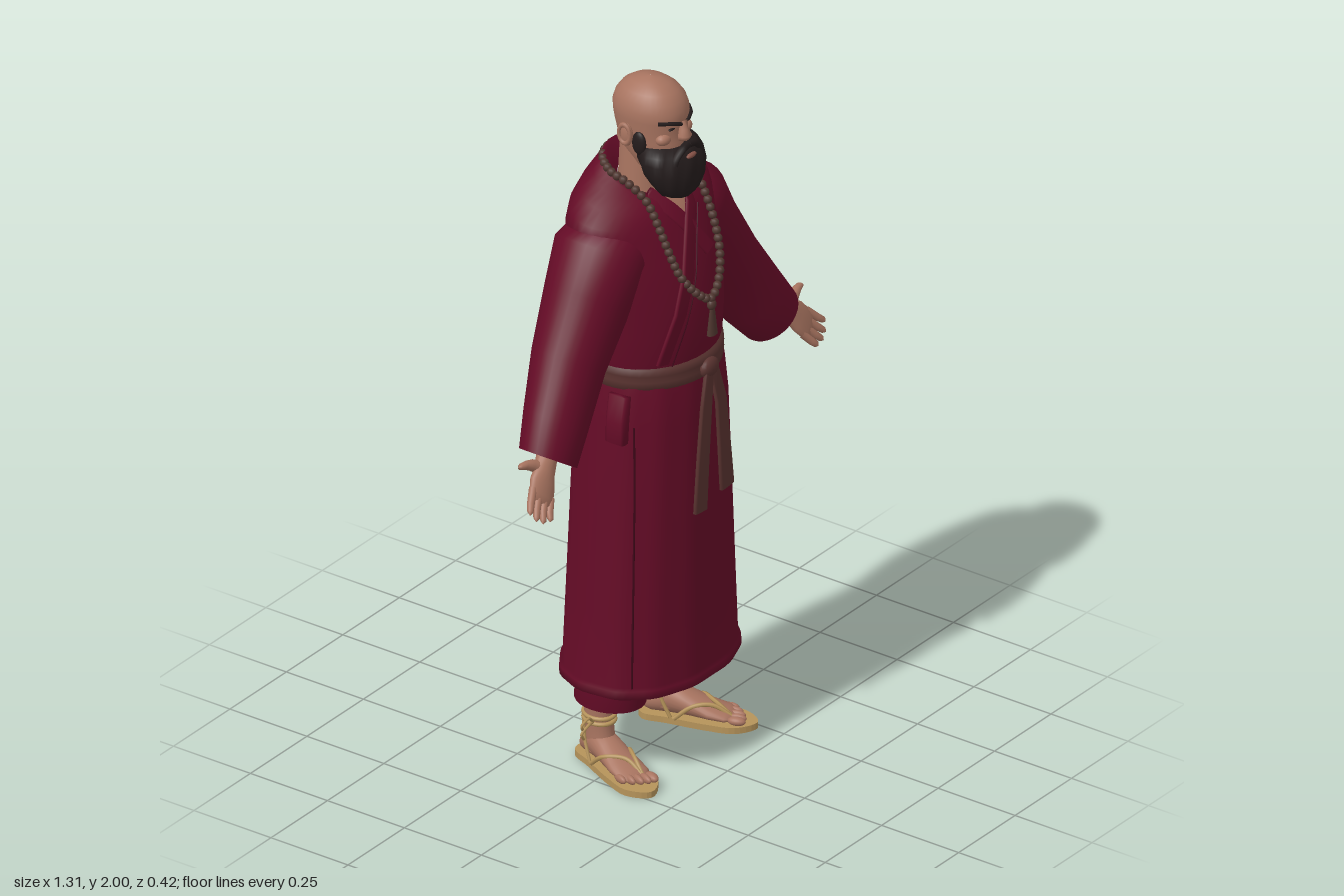
import * as THREE from 'three';
import { mergeGeometries } from 'three/addons/utils/BufferGeometryUtils.js';

const mat = (name, color) => Object.assign(new THREE.MeshStandardMaterial({ color }), { name });
const V = (x, y, z) => new THREE.Vector3(x, y, z);

// Skin a row of super-elliptic sections {c, u, v}; outward side is found from the row's direction
function loft(secs, n = 28, p = 2, ripple = () => 1) {
  const pos = [], idx = [], s1 = secs[1];
  const along = secs[secs.length - 1].c.clone().sub(secs[0].c);
  const flip = along.dot(s1.u.clone().cross(s1.v)) > 0 ? -1 : 1;
  const pw = (t) => Math.sign(t) * Math.abs(t) ** (2 / p);
  secs.forEach((s, i) => {
    for (let j = 0; j < n; j++) {
      const a = (j / n) * Math.PI * 2, r = ripple(a, i);
      const q = s.c.clone().addScaledVector(s.u, pw(Math.cos(a)) * r).addScaledVector(s.v, flip * pw(Math.sin(a)) * r);
      pos.push(q.x, q.y, q.z);
      if (i < secs.length - 1) {
        const k = (j + 1) % n, A = i * n + j, B = A + n, C = i * n + k, D = C + n;
        idx.push(A, B, C, B, D, C);
      }
    }
  });
  const g = new THREE.BufferGeometry();
  g.setAttribute('position', new THREE.Float32BufferAttribute(pos, 3));
  g.setIndex(idx);
  g.computeVertexNormals();
  return g;
}

// Horizontal section: height, half width, front z, back z, front drop
const ring = ([y, rx, zf, zb, dy = 0], x = 0) =>
  ({ c: V(x, y, (zf + zb) / 2), u: V(rx, 0, 0), v: V(0, dy, (zf - zb) / 2) });
const rings = (rows, x) => rows.map((r) => ring(r, x));

// Front surface depth of a stack of horizontal sections
function frontZ(rows, x, y, p = 2) {
  const up = rows.map((r) => [r[0] + (r[4] || 0), r[1], r[2], r[3]]).sort((a, b) => a[0] - b[0]);
  let i = 0;
  while (i < up.length - 2 && up[i + 1][0] < y) i++;
  const t = THREE.MathUtils.clamp((y - up[i][0]) / (up[i + 1][0] - up[i][0]), 0, 1);
  const [, rx, zf, zb] = up[i].map((a, k) => a + (up[i + 1][k] - a) * t);
  const e = Math.max(0, 1 - Math.abs(x / rx) ** p) ** (1 / p);
  return (zf + zb) / 2 + ((zf - zb) / 2) * e;
}

// Flat band along points [x, y, z, width]
function band(pts, t) {
  const secs = pts.map(([x, y, z, w], i) => {
    const a = pts[Math.max(0, i - 1)], b = pts[Math.min(pts.length - 1, i + 1)];
    const d = V(b[0] - a[0], b[1] - a[1], 0).normalize();
    return { c: V(x, y, z), u: V(-d.y, d.x, 0).multiplyScalar(w / 2), v: V(0, 0, t / 2) };
  });
  const end = (s) => ({ c: s.c, u: s.u.clone().multiplyScalar(0.02), v: s.v.clone().multiplyScalar(0.02) });
  return loft([end(secs[0]), ...secs, end(secs[secs.length - 1])], 12, 5);
}
const tube = (pts, r, seg = 20) =>
  new THREE.TubeGeometry(new THREE.CatmullRomCurve3(pts.map((q) => V(...q))), seg, r, 6);
const blob = (x, y, z, a, b, c) => new THREE.SphereGeometry(1, 18, 12).scale(a, b, c).translate(x, y, z);

export function createModel() {
  const model = new THREE.Group();
  const robe = mat('crimson cloth', 0x640b26), seam = mat('seam shade', 0x3f0618);
  const skin = mat('skin', 0xa87460), hair = mat('black hair', 0x231b1b), lip = mat('lips', 0x855146);
  const sash = mat('brown sash', 0x58322f), wood = mat('dark wood', 0x4f362f), straw = mat('straw', 0xb5935a);
  const add = (name, geo, m, parent = model) => {
    const mesh = new THREE.Mesh(geo, m);
    mesh.name = name;
    parent.add(mesh);
    return mesh;
  };

  // Robe upper body, ending in a collar folded inward
  const torso = [
    [1.18, 0.19, 0.165, -0.16], [1.24, 0.205, 0.178, -0.172], [1.32, 0.21, 0.183, -0.19],
    [1.42, 0.225, 0.178, -0.2], [1.52, 0.24, 0.15, -0.2], [1.6, 0.25, 0.12, -0.192, -0.01],
    [1.645, 0.242, 0.105, -0.18, -0.02], [1.68, 0.2, 0.09, -0.162, -0.03], [1.705, 0.15, 0.08, -0.142, -0.04],
    [1.722, 0.118, 0.075, -0.128, -0.05], [1.727, 0.1, 0.065, -0.115, -0.05]];
  add('robeTop', loft(rings([...torso, [1.67, 0.07, 0.04, -0.09, -0.05]]), 40), robe);
  const onChest = ([x, y, w], off) => [x, y, frontZ(torso, x, y) + off, w];
  add('chest', band([[0, 1.68, 0.075], [0, 1.655, 0.05], [0, 1.625, 0.006]].map((q) => onChest(q, 0.004)), 0.008), skin);
  const lapel = (pts, off) => band(pts.map((q) => onChest(q, off)), 0.012);
  add('underLapel', lapel([[-0.07, 1.69, 0.04], [-0.04, 1.645, 0.042], [0, 1.59, 0.042], [0.05, 1.51, 0.04]], 0.004), robe);
  const overLine = [[0.07, 1.69, 0.04], [0.035, 1.64, 0.045], [-0.01, 1.58, 0.048],
    [-0.06, 1.48, 0.05], [-0.1, 1.38, 0.05], [-0.14, 1.24, 0.05]];
  add('overLapel', lapel(overLine, 0.01), robe);
  add('lapelSeam', tube(overLine.slice(1).map(([x, y]) => onChest([x + 0.022, y - 0.01, 0], 0.013).slice(0, 3)), 0.002), seam);

  // Skirt with soft pleats, hem fold and an open inside
  const skirt = [
    [1.21, 0.19, 0.162, -0.158], [1.15, 0.203, 0.175, -0.17], [1.05, 0.215, 0.182, -0.178], [0.8, 0.232, 0.186, -0.187],
    [0.5, 0.25, 0.19, -0.194], [0.3, 0.262, 0.193, -0.199], [0.293, 0.27, 0.2, -0.206], [0.27, 0.271, 0.201, -0.206],
    [0.268, 0.255, 0.186, -0.191], [0.4, 0.245, 0.178, -0.183], [0.75, 0.2, 0.16, -0.16], [0.8, 0.002, 0.001, -0.001]];
  add('skirt', loft(rings(skirt), 72, 2.25, (a, i) => 1 + (i > 0 && i < 8 ? 0.008 * Math.sin(13 * a) : 0)), robe);
  for (const s of [-1, 1]) {
    const pts = [1.06, 0.85, 0.6, 0.3].map((y) => {
      const x = s * (0.195 + (1.06 - y) * 0.045);
      return [x, y, frontZ(skirt.slice(0, 7), x, y, 2.25) + 0.002];
    });
    add('skirtSeam', tube(pts, 0.003), seam);
  }
  add('sideTie', band([[-0.205, 1.15, 0.05, 0.03], [-0.222, 1.08, 0.055, 0.035], [-0.225, 1.02, 0.055, 0.03]], 0.06), robe);

  // Trousers and the hanging inner flap
  for (const s of [-1, 1])
    add('trouserLeg', loft(rings([[0.6, 0.08, 0.08, -0.11], [0.28, 0.086, 0.082, -0.118], [0.2, 0.085, 0.08, -0.12],
      [0.198, 0.075, 0.07, -0.11], [0.27, 0.05, 0.03, -0.08]], s * 0.152), 28), robe);
  add('innerFlap', loft(rings([[0.6, 0.05, 0.1, -0.02], [0.2, 0.06, 0.09, -0.02], [0.198, 0.002, 0.036, 0.034]], -0.012), 20, 3), robe);

  // Sash with two hanging ends
  add('sash', loft(rings([[1.155, 0.19, 0.165, -0.16], [1.163, 0.203, 0.182, -0.176], [1.185, 0.205, 0.185, -0.178],
    [1.194, 0.2, 0.18, -0.173], [1.203, 0.205, 0.185, -0.178], [1.222, 0.203, 0.182, -0.175],
    [1.23, 0.19, 0.165, -0.16]]), 48), sash);
  add('sashKnot', blob(0.005, 1.185, 0.187, 0.036, 0.028, 0.018), sash);
  add('sashEndRight', band([[-0.005, 1.18, 0.193, 0.035], [-0.025, 1.08, 0.198, 0.045], [-0.042, 0.93, 0.2, 0.05], [-0.056, 0.785, 0.202, 0.054]], 0.012), sash);
  add('sashEndLeft', band([[0.015, 1.18, 0.193, 0.035], [0.04, 1.08, 0.198, 0.042], [0.052, 0.94, 0.2, 0.05], [0.062, 0.81, 0.202, 0.056]], 0.012), sash);

  // Sleeves and hands
  for (const s of [-1, 1]) {
    const sleeve = [[0.06, 1.62, -0.035, 0.02, 0.03], [0.11, 1.585, -0.035, 0.1, 0.11], [0.17, 1.54, -0.032, 0.131, 0.132],
      [0.24, 1.43, -0.03, 0.123, 0.117], [0.34, 1.29, -0.018, 0.108, 0.1], [0.43, 1.16, 0.007, 0.1, 0.086],
      [0.49, 1.08, 0.026, 0.09, 0.077], [0.487, 1.084, 0.025, 0.08, 0.067], [0.4, 1.2, 0, 0.07, 0.06]];
    add('sleeve', loft(sleeve.map(([x, y, z, w, d]) =>
      ({ c: V(s * x, y, z), u: V(s * 0.83 * w, 0.55 * w, 0), v: V(0, 0, d) })), 32), robe);
    const D = V(s * 0.63, -0.71, 0.3).normalize(), W = V(s * 0.69, 0.64, -0.33).normalize();
    const N = D.clone().cross(W).normalize().multiplyScalar(s);
    const P = (w, d, n = 0) => V(s * 0.525, 1.09, 0.045).addScaledVector(W, w).addScaledVector(D, d).addScaledVector(N, n);
    const limb = (rows, n = 12) => loft(rows.map(([w, d, rw, rn, o = 0]) =>
      ({ c: P(w, d, o), u: W.clone().multiplyScalar(rw), v: N.clone().multiplyScalar(rn) })), n);
    const hand = new THREE.Group();
    hand.name = 'hand';
    model.add(hand);
    add('palm', limb([[0, -0.12, 0.035, 0.033], [0, 0, 0.031, 0.025], [0.002, 0.03, 0.034, 0.022], [0.002, 0.06, 0.043, 0.02],
      [0, 0.095, 0.043, 0.015], [0, 0.112, 0.036, 0.01], [0, 0.116, 0.001, 0.001]], 20), skin, hand);
    [[-0.034, 0.05], [-0.012, 0.066], [0.011, 0.07], [0.034, 0.062]].forEach(([w, len]) => {
      add('finger', limb([[w, 0.085, 0.011, 0.011], [w * 1.05, 0.1 + len * 0.5, 0.0108, 0.0105, 0.002],
        [w * 1.1, 0.095 + len * 0.92, 0.009, 0.009, 0.006], [w * 1.1, 0.1 + len, 0.001, 0.001, 0.007]]), skin, hand);
    });
    const thumb = [[0.016, 0.02, 0.019], [0.045, 0.026, 0.016], [0.068, 0.036, 0.0125], [0.084, 0.046, 0.0095], [0.09, 0.05, 0.001]];
    add('thumb', loft(thumb.map(([w, d, r]) => ({ c: P(w, d, 0.006 * s), u: D.clone().multiplyScalar(r), v: N.clone().multiplyScalar(r) })), 12), skin, hand);
  }

  // Head, neck, face
  add('neck', new THREE.CylinderGeometry(0.06, 0.068, 0.18, 24).translate(0, 1.74, -0.025), skin);
  add('head', loft(rings([[1.735, 0.002, 0.04, 0.036], [1.74, 0.045, 0.09, -0.02], [1.76, 0.06, 0.1, -0.045], [1.8, 0.073, 0.107, -0.075],
    [1.84, 0.08, 0.106, -0.09], [1.875, 0.082, 0.101, -0.099], [1.9, 0.086, 0.108, -0.103], [1.925, 0.086, 0.105, -0.104],
    [1.95, 0.079, 0.096, -0.096], [1.972, 0.065, 0.078, -0.08], [1.988, 0.045, 0.053, -0.056], [1.997, 0.022, 0.025, -0.027],
    [2, 0.001, 0.001, -0.001]]), 36, 2.15), skin);
  add('nose', loft(rings([[1.9, 0.009, 0.111, 0.09], [1.875, 0.012, 0.12, 0.09], [1.858, 0.02, 0.13, 0.09],
    [1.846, 0.019, 0.123, 0.09], [1.841, 0.004, 0.105, 0.09]]), 16), skin);
  for (const s of [-1, 1]) {
    add('ear', blob(s * 0.09, 1.858, -0.012, 0.011, 0.033, 0.019).rotateX(0), skin);
    add('earRim', new THREE.TorusGeometry(0.018, 0.005, 8, 18).rotateY(Math.PI / 2).scale(1, 1.5, 1).translate(s * 0.098, 1.862, -0.014), skin);
    add('eyebrow', tube([[s * 0.012, 1.893, 0.109], [s * 0.038, 1.903, 0.102], [s * 0.068, 1.905, 0.073]], 0.0055), hair);
    add('eye', blob(s * 0.034, 1.884, 0.094, 0.014, 0.004, 0.006), hair);
    add('cheek', blob(s * 0.045, 1.853, 0.075, 0.026, 0.018, 0.02), skin);
    add('sideburn', blob(s * 0.081, 1.838, 0.022, 0.011, 0.034, 0.022), hair);
    add('moustache', tube([[s * 0.002, 1.833, 0.12], [s * 0.025, 1.828, 0.122], [s * 0.05, 1.805, 0.118], [s * 0.058, 1.78, 0.118]], 0.0115), hair);
  }
  add('beard', loft(rings([[1.675, 0.002, 0.1, 0.096], [1.68, 0.035, 0.124, 0.06], [1.695, 0.065, 0.137, 0.045], [1.725, 0.086, 0.146, 0.03],
    [1.76, 0.1, 0.147, 0.005], [1.79, 0.101, 0.14, -0.01], [1.812, 0.094, 0.127, -0.012], [1.826, 0.084, 0.112, -0.012],
    [1.83, 0.06, 0.09, -0.01]]), 48, 2.1, (a, i) => 1 + 0.022 * Math.sin(11 * a + i * 1.7)), hair);
  add('mouth', blob(0, 1.803, 0.132, 0.02, 0.007, 0.008), lip);

  // Necklace of beads with a tassel
  const half = [[0.07, 1.755, -0.105], [0.11, 1.745, -0.05], [0.115, 1.73, 0.01], [0.108, 1.69, 0.065]]
    .concat([[0.106, 1.63], [0.102, 1.56], [0.088, 1.49], [0.05, 1.43]].map(([x, y]) => [x, y, frontZ(torso, x, y) + 0.014]));
  const loop = [[0, 1.757, -0.127], ...half, [0, 1.397, 0.196], ...half.slice().reverse().map(([x, y, z]) => [-x, y, z])];
  const path = new THREE.CatmullRomCurve3(loop.map((q) => V(...q)), true);
  add('beads', mergeGeometries(path.getSpacedPoints(60).slice(0, 60).map((q) => new THREE.SphereGeometry(0.0122, 10, 8).translate(q.x, q.y, q.z))), wood);
  add('tasselBead', blob(0, 1.378, 0.198, 0.014, 0.016, 0.012), wood);
  add('tassel', new THREE.CylinderGeometry(0.009, 0.019, 0.075, 14).scale(1, 1, 0.6).translate(0, 1.328, 0.2), wood);

  // Feet in straw sandals, toes turned out
  const outline = new THREE.Shape();
  const edge = [[0, -0.088], [0.036, -0.07], [0.043, 0], [0.056, 0.11], [0.052, 0.19], [0, 0.237], [-0.05, 0.19], [-0.054, 0.11], [-0.043, 0], [-0.036, -0.07]];
  outline.setFromPoints(new THREE.CatmullRomCurve3(edge.map(([x, y]) => V(x, y, 0)), true).getPoints(48).slice(0, 48).map((q) => new THREE.Vector2(q.x, q.y)));
  for (const s of [-1, 1]) {
    const foot = new THREE.Group();
    foot.name = 'foot';
    foot.position.set(s * 0.155, 0, -0.047);
    foot.rotation.y = s * 0.35;
    model.add(foot);
    add('sole', new THREE.ExtrudeGeometry(outline, { depth: 0.018, bevelEnabled: false }).rotateX(Math.PI / 2).translate(0, 0.018, 0), straw, foot);
    add('ankle', loft(rings([[0.04, 0.036, 0.045, -0.055], [0.09, 0.036, 0.04, -0.052], [0.13, 0.036, 0.032, -0.052],
      [0.2, 0.043, 0.04, -0.058], [0.32, 0.05, 0.045, -0.062]]), 24), skin, foot);
    const bridge = [[-0.072, 0.04, 0.002, 0.002], [-0.068, 0.04, 0.022, 0.02], [-0.05, 0.05, 0.035, 0.034], [0, 0.062, 0.039, 0.046], [0.05, 0.052, 0.042, 0.036],
      [0.11, 0.038, 0.048, 0.022], [0.155, 0.032, 0.047, 0.015], [0.175, 0.028, 0.03, 0.008], [0.178, 0.028, 0.002, 0.002]];
    add('instep', loft(bridge.map(([z, y, a, b]) => ({ c: V(0, y, z), u: V(a, 0, 0), v: V(0, b, 0) })), 24), skin, foot);
    for (let i = 0; i < 5; i++)
      add('toe', blob(s * (-0.034 + i * 0.0185), 0.03, 0.188 - i * i * 0.0024, i ? 0.0095 : 0.014, 0.012, 0.025), skin, foot);
    for (const k of [-1, 1]) {
      add('strap', tube([[s * -0.016, 0.03, 0.175], [s * -0.012 + k * 0.012, 0.062, 0.12], [k * 0.04, 0.058, 0.07], [k * 0.046, 0.018, 0.02]], 0.006), straw, foot);
      add('heelStrap', tube([[k * 0.043, 0.018, 0.01], [k * 0.041, 0.07, -0.015], [k * 0.036, 0.125, -0.03]], 0.005), straw, foot);
      add('bowLoop', tube([[s * 0.036, 0.137, 0.015], [s * 0.06, 0.15 + k * 0.01, 0.03], [s * 0.085, 0.135 + k * 0.012, 0.035], [s * 0.075, 0.115 + k * 0.012, 0.03]], 0.004), straw, foot);
    }
    for (const y of [0.13, 0.146])
      add('ankleCord', new THREE.TorusGeometry(0.043, 0.006, 8, 28).rotateX(Math.PI / 2).scale(0.92, 1, 1.08).translate(0, y, -0.009), straw, foot);
  }
  return model;
}
